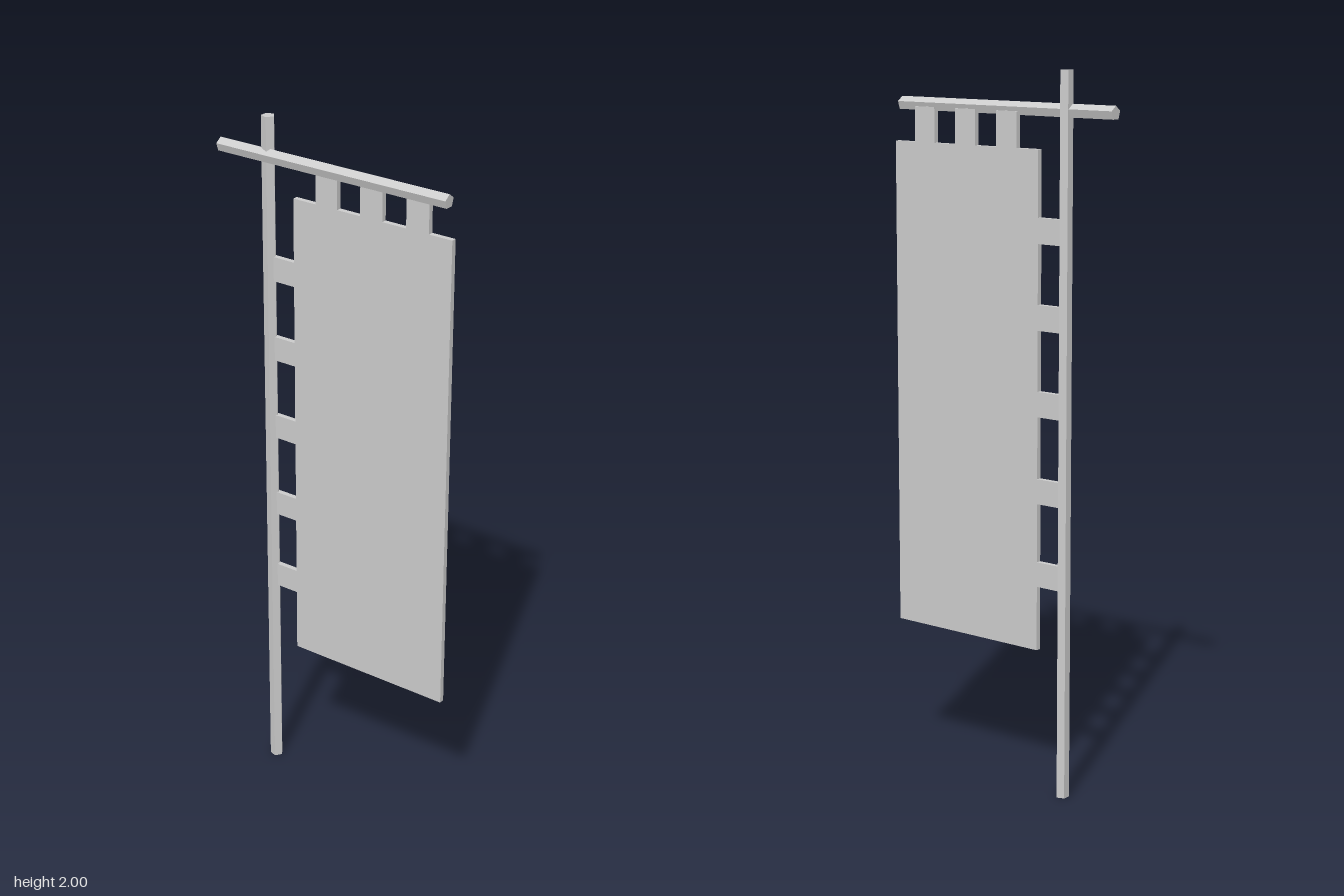
import * as THREE from 'three';

const material = new THREE.MeshStandardMaterial({ color: 0xcccccc, flatShading: true });

function addPart(group, name, geometry) {
  const mesh = new THREE.Mesh(geometry, material);
  mesh.name = name;
  group.add(mesh);
  return mesh;
}

// Banner outline with tabs down the pole side and along the top
function bannerShape() {
  const left = -0.132, right = 0.369, bottom = 0.41, top = 1.79;
  const poleX = -0.208, barY = 1.887, half = 0.035;
  const shape = new THREE.Shape();
  shape.moveTo(left, bottom);
  shape.lineTo(right, bottom);
  shape.lineTo(right, top);
  for (const x of [0.263, 0.119, -0.024]) {
    shape.lineTo(x + half, top);
    shape.lineTo(x + half, barY);
    shape.lineTo(x - half, barY);
    shape.lineTo(x - half, top);
  }
  shape.lineTo(left, top);
  for (const y of [1.574, 1.34, 1.103, 0.861, 0.627]) {
    shape.lineTo(left, y + half);
    shape.lineTo(poleX, y + half);
    shape.lineTo(poleX, y - half);
    shape.lineTo(left, y - half);
  }
  shape.closePath();
  return shape;
}

export function createModel() {
  const group = new THREE.Group();
  group.name = 'bannerStand';

  // Five-sided upright pole with one edge towards the banner
  const pole = addPart(group, 'pole',
    new THREE.CylinderGeometry(0.019, 0.019, 2, 5, 1, false, Math.PI / 2));
  pole.position.set(-0.216, 1, -0.006);

  // Five-sided crossbar with one edge facing up
  const barGeometry = new THREE.CylinderGeometry(0.0195, 0.0195, 0.73, 5, 1, false, -Math.PI / 2);
  barGeometry.rotateZ(-Math.PI / 2); // the -x edge turns to +y
  const bar = addPart(group, 'crossbar', barGeometry);
  bar.position.set(-0.005, 1.893, 0.003);

  // Cloth panel with its hanging tabs
  const cloth = addPart(group, 'banner',
    new THREE.ExtrudeGeometry(bannerShape(), { depth: 0.015, bevelEnabled: false }));
  cloth.position.z = -0.016;

  return group;
}
